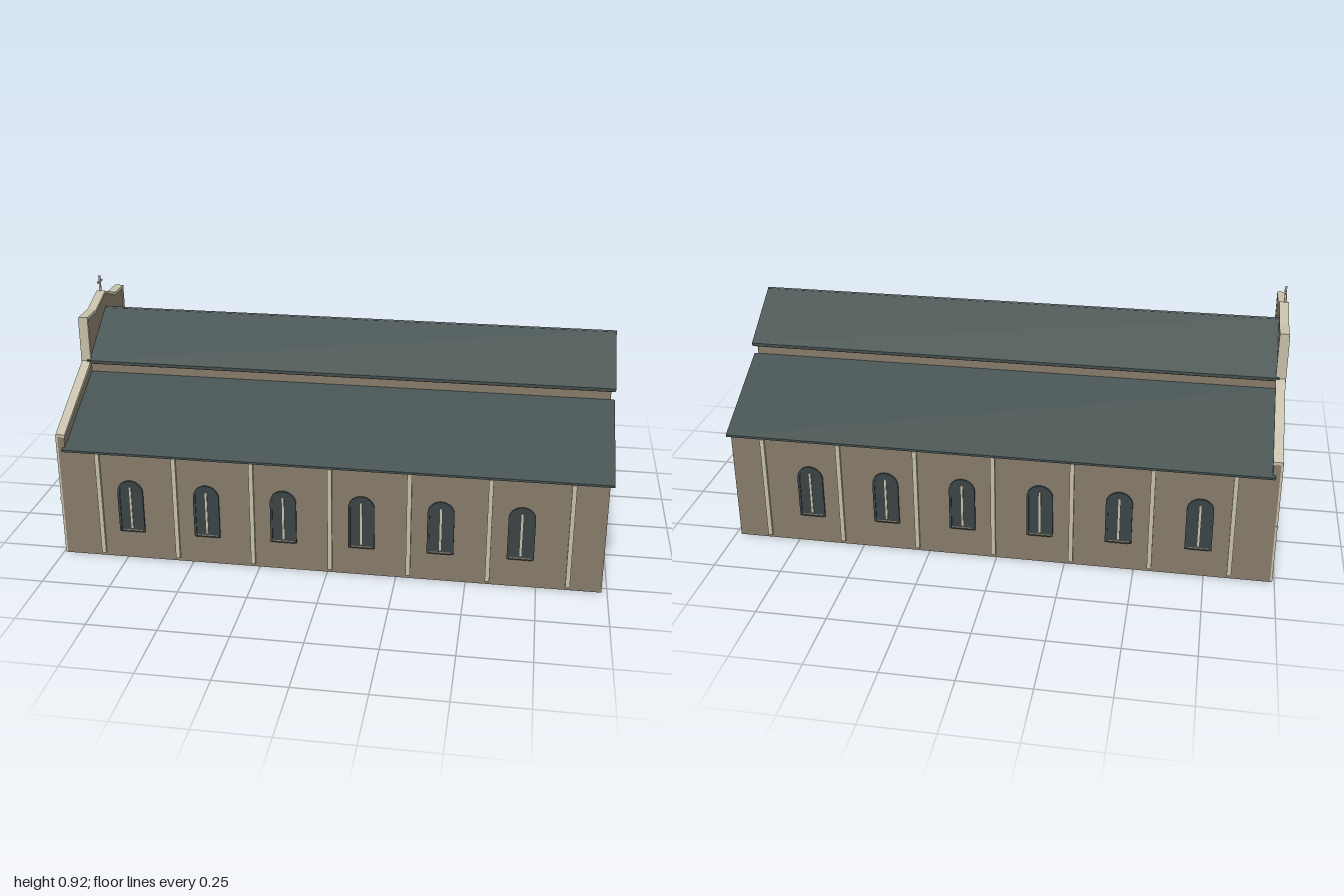
import * as THREE from 'three';

const mat = (name, color, side = THREE.FrontSide) => {
  const m = new THREE.MeshStandardMaterial({ color, side });
  m.name = name;
  return m;
};

export function createModel() {
  const stone = mat('stone', 0x857a69);
  const trim = mat('paleTrim', 0xc4bea9);
  const slate = mat('slate', 0x414e4d);
  const glass = mat('darkGlass', 0x394345);
  const wood = mat('doorWood', 0x8a6236);
  const eaveWood = mat('eaveWood', 0x40302a);

  const model = new THREE.Group();
  model.name = 'church';

  const add = (parent, name, geo, material, x = 0, y = 0, z = 0) => {
    const mesh = new THREE.Mesh(geo, material);
    mesh.name = name;
    mesh.position.set(x, y, z);
    parent.add(mesh);
    return mesh;
  };
  const box = (parent, name, w, h, d, material, x, y, z) =>
    add(parent, name, new THREE.BoxGeometry(w, h, d), material, x, y, z);
  const poly = (pts) => new THREE.Shape(pts.map(([a, b]) => new THREE.Vector2(a, b)));
  const extrude = (shape, depth) =>
    new THREE.ExtrudeGeometry(shape, { depth, bevelEnabled: false, curveSegments: 10 });
  // Completes a half outline by mirroring it across the centre
  const mirrored = (half) => [...half, ...half.filter((p) => p[0] > 0).reverse().map(([a, b]) => [-a, b])];

  // Cross-section in (z, y), swept along x
  const sweep = (name, pts, x0, x1, material) =>
    add(model, name, extrude(poly(pts), x1 - x0).rotateY(-Math.PI / 2), material, x1);

  // Round-headed opening standing on y = 0
  const arch = (w, h, Type = THREE.Shape) => {
    const r = w / 2, s = new Type();
    s.moveTo(-r, 0);
    s.lineTo(r, 0);
    s.lineTo(r, h - r);
    s.absarc(0, h - r, r, 0, Math.PI, false);
    s.lineTo(-r, 0);
    return s;
  };
  const archFrame = (w, h, t) => {
    const s = arch(w, h);
    s.holes.push(arch(w - 2 * t, h - t, THREE.Path));
    return s;
  };

  // Nave and aisles
  sweep('body', mirrored([[0.53, 0], [0.53, 0.415], [0.2, 0.588], [0.2, 0.648], [0, 0.783]]), -0.965, 0.98, stone);

  // Roofs
  sweep('naveRoof', [
    [0.217, 0.642], [0.217, 0.651], [0, 0.797], [-0.217, 0.651], [-0.217, 0.642], [0, 0.788],
  ], -0.97, 0.995, slate);
  const ridge = new THREE.CylinderGeometry(0.005, 0.005, 1.955, 8).rotateZ(Math.PI / 2);
  add(model, 'ridge', ridge, slate, 0.0175, 0.793, 0);
  for (const s of [1, -1]) {
    sweep('aisleRoof', [[0.54, 0.416], [0.54, 0.424], [0.2, 0.603], [0.2, 0.594]].map(([z, y]) => [z * s, y]),
      -0.97, 0.995, slate);
    box(model, 'naveEave', 1.95, 0.007, 0.008, eaveWood, 0.018, 0.642, s * 0.212);
  }

  // Side walls: buttress strips and arched windows
  for (const s of [1, -1]) {
    const side = new THREE.Group();
    side.name = s > 0 ? 'frontWallDetails' : 'backWallDetails';
    side.rotation.y = s > 0 ? 0 : Math.PI;
    side.position.z = s * 0.53;
    model.add(side);
    for (let i = 0; i < 7; i++) {
      box(side, 'pilaster', 0.016, 0.4, 0.01, trim, s * (-0.84 + i * 0.2835), 0.215, 0.005);
    }
    for (let i = 0; i < 6; i++) {
      const x = s * (-0.725 + i * 0.283);
      add(side, 'windowFrame', extrude(archFrame(0.095, 0.205, 0.008), 0.007), glass, x, 0.11, 0);
      add(side, 'windowPane', extrude(arch(0.08, 0.19), 0.003), glass, x, 0.117, 0);
      box(side, 'windowMullion', 0.007, 0.165, 0.005, trim, x, 0.207, 0.0035);
    }
  }

  // Facade: local x runs along the width, local z points outward
  const facade = new THREE.Group();
  facade.name = 'facade';
  facade.rotation.y = -Math.PI / 2;
  facade.position.x = -0.985;
  model.add(facade);
  add(facade, 'facadeWall', extrude(poly(mirrored([
    [0.53, 0], [0.53, 0.47], [0.205, 0.638], [0.205, 0.812], [0.11, 0.812], [0, 0.852],
  ])), 0.025), stone, 0, 0, -0.025);

  // Coping along the stepped gable
  const outer = mirrored([[0.53, 0.48], [0.213, 0.648], [0.213, 0.82], [0.113, 0.82], [0, 0.86]]);
  const inner = mirrored([[0.53, 0.467], [0.2, 0.636], [0.2, 0.809], [0.11, 0.809], [0, 0.85]]);
  add(facade, 'coping', extrude(poly([...outer, ...inner.reverse()]), 0.034), trim, 0, 0, -0.028);

  // Pilasters and string course
  for (const s of [1, -1]) {
    box(facade, 'outerPilaster', 0.02, 0.47, 0.008, trim, s * 0.519, 0.235, 0.004);
    box(facade, 'innerPilaster', 0.02, 0.81, 0.008, trim, s * 0.203, 0.405, 0.004);
  }
  box(facade, 'stringCourse', 1.06, 0.012, 0.01, trim, 0, 0.222, 0.005);

  // Round tracery windows
  const rose = (x, y, r, spokes) => {
    const g = new THREE.Group();
    g.name = 'roseWindow';
    g.position.set(x, y, 0);
    facade.add(g);
    add(g, 'roseGlass', new THREE.CylinderGeometry(r, r, 0.004, 28).rotateX(Math.PI / 2), glass, 0, 0, 0.002);
    add(g, 'roseRing', new THREE.TorusGeometry(r, 0.007, 6, 28), stone, 0, 0, 0.004);
    add(g, 'roseHub', new THREE.TorusGeometry(r * 0.25, 0.004, 6, 14), stone, 0, 0, 0.004);
    for (let i = 0; i < spokes; i++) {
      const a = (i / spokes) * Math.PI * 2;
      const m = box(g, 'roseSpoke', r * 0.75, 0.005, 0.005, stone,
        Math.cos(a) * r * 0.62, Math.sin(a) * r * 0.62, 0.005);
      m.rotation.z = a;
    }
  };
  rose(0, 0.488, 0.07, 8);
  rose(0.385, 0.34, 0.043, 6);
  rose(-0.385, 0.34, 0.043, 6);

  // Arched windows and portals with surrounds
  const opening = (name, x, y, w, h, t, fill, frame) => {
    add(facade, name + 'Surround', extrude(archFrame(w + 2 * t, h + t, t), 0.012), frame, x, y, 0);
    add(facade, name, extrude(arch(w, h), 0.004), fill, x, y, 0);
  };
  for (const s of [1, -1]) {
    opening('upperWindow', s * 0.031, 0.63, 0.042, 0.115, 0.006, glass, trim);
    opening('lowerWindow', s * 0.019, 0.265, 0.026, 0.105, 0.005, glass, trim);
    opening('innerDoor', s * 0.15, 0, 0.06, 0.15, 0.012, wood, stone);
    opening('outerDoor', s * 0.39, 0, 0.066, 0.155, 0.012, glass, stone);
    box(facade, 'outerDoorPost', 0.008, 0.13, 0.006, wood, s * 0.39, 0.065, 0.005);
  }
  opening('mainDoor', 0, 0, 0.09, 0.18, 0.018, wood, trim);
  box(facade, 'mainDoorSeam', 0.005, 0.135, 0.002, eaveWood, 0, 0.0675, 0.005);

  // Cross on the gable peak
  box(facade, 'crossUpright', 0.007, 0.068, 0.007, trim, 0, 0.886, 0.006 - 0.015);
  box(facade, 'crossArm', 0.044, 0.006, 0.007, trim, 0, 0.898, 0.006 - 0.015);

  return model;
}
